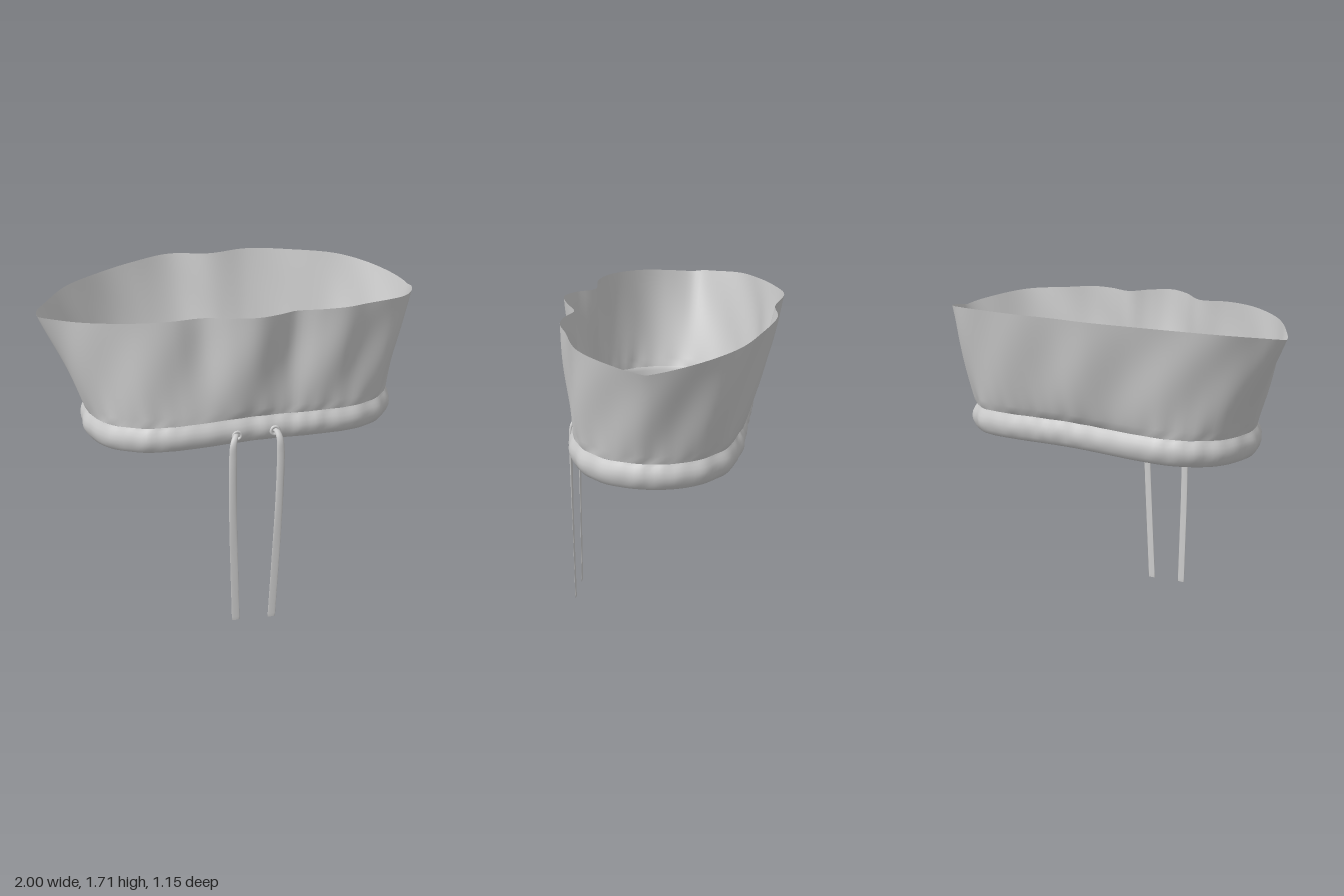
import * as THREE from 'three';

const material = new THREE.MeshStandardMaterial({ color: 0xcccccc, side: THREE.DoubleSide });
const SEGMENTS = 180;

// Closed horizontal outline from [x, z] pairs, sampled evenly: position and outward normal
function outline(pairs) {
  const curve = new THREE.CatmullRomCurve3(pairs.map(([x, z]) => new THREE.Vector3(x, 0, z)), true);
  return Array.from({ length: SEGMENTS }, (_, i) => {
    const p = curve.getPointAt(i / SEGMENTS);
    const t = curve.getTangentAt(i / SEGMENTS);
    return { x: p.x, z: p.z, nx: t.z, nz: -t.x };
  });
}

// Smooth surface through closed rings; point(row, column) gives [x, y, z]
function loft(name, rows, columns, point) {
  const positions = [];
  const index = [];
  for (let r = 0; r < rows; r++) {
    for (let c = 0; c < columns; c++) {
      positions.push(...point(r, c));
      if (r === rows - 1) continue;
      const a = r * columns + c;
      const b = r * columns + (c + 1) % columns;
      index.push(a, a + columns, b, b, a + columns, b + columns);
    }
  }
  const geometry = new THREE.BufferGeometry();
  geometry.setAttribute('position', new THREE.Float32BufferAttribute(positions, 3));
  geometry.setIndex(index);
  geometry.computeVertexNormals();
  const mesh = new THREE.Mesh(geometry, material);
  mesh.name = name;
  return mesh;
}

// Outlines run from the left side across the front, then back round behind
const hem = outline([
  [0.82, 0.03], [0.77, 0.24], [0.62, 0.38], [0.42, 0.43], [0.04, 0.43], [-0.36, 0.43], [-0.55, 0.38], [-0.7, 0.24],
  [-0.75, 0.03], [-0.7, -0.18], [-0.55, -0.32], [-0.36, -0.365], [0.04, -0.365], [0.42, -0.365], [0.62, -0.32], [0.77, -0.18],
]);
const rim = outline([
  [1, 0], [0.95, 0.18], [0.83, 0.35], [0.6, 0.45], [0.48, 0.5], [0.35, 0.5], [0.22, 0.475], [0.12, 0.53],
  [0, 0.57], [-0.12, 0.53], [-0.25, 0.445], [-0.4, 0.46], [-0.5, 0.45], [-0.62, 0.41], [-0.8, 0.29], [-0.92, 0.14],
  [-1, -0.03], [-0.92, -0.16], [-0.8, -0.3], [-0.6, -0.42], [-0.4, -0.51], [-0.18, -0.575], [0.04, -0.54], [0.26, -0.565],
  [0.5, -0.51], [0.75, -0.41], [0.92, -0.22],
]);

const BAND_HEIGHT = 0.14;
const SEAM_OFFSET = 0.022;
const hemHeight = ({ x }) => 0.965 + 0.012 * x + 0.033 * (1 - (x / 0.8) ** 2);
const rimHeight = ({ z }) => 1.613 + 0.165 * Math.abs(z);

// Irregular gathers around the ring
function gathers(c) {
  const a = (c / SEGMENTS) * Math.PI * 2;
  return 0.5 * Math.sin(23 * a + 2 * Math.sin(3 * a)) + 0.5 * Math.sin(37 * a + 1.5 * Math.sin(5 * a));
}

// Gathered drawstring band: inner facing, hem edge, puffed outside
function buildBand() {
  const profile = [ // outward offset, height, ripple strength
    [SEAM_OFFSET, BAND_HEIGHT, 0.3], [0.01, 0.12, 0], [0.003, 0.06, 0], [0, 0.01, 0], [0.004, 0, 0],
    [0.022, 0.008, 0.2], [0.036, 0.03, 0.6], [0.045, 0.055, 1], [0.047, 0.08, 1],
    [0.041, 0.105, 1], [0.03, 0.125, 0.8], [SEAM_OFFSET, BAND_HEIGHT, 0.3],
  ];
  return loft('drawstringBand', profile.length, SEGMENTS, (r, c) => {
    const p = hem[c];
    const [offset, height, ripple] = profile[r];
    const out = offset + 0.006 * ripple * gathers(c);
    return [p.x + p.nx * out, hemHeight(p) + height + 0.004 * ripple * gathers(c + 4), p.z + p.nz * out];
  });
}

// Flaring cloth wall with soft folds that fade in from the seam
function buildWall() {
  const rows = 25;
  return loft('clothWall', rows, SEGMENTS, (r, c) => {
    const t = r / (rows - 1);
    const low = hem[c];
    const high = rim[c];
    const a = (c / SEGMENTS) * Math.PI * 2;
    const y = THREE.MathUtils.lerp(hemHeight(low) + BAND_HEIGHT, rimHeight(high), t);
    // the front and back belly out, the sides run straight
    const flareX = t;
    const flareZ = Math.pow(t, 0.72);
    const pucker = t > 0 ? 0.008 * gathers(c) * Math.exp(-t * 7) : 0.0018 * gathers(c);
    const fold = 0.009 * Math.sin(Math.PI * t) * Math.sin(11 * a + 3 * t + Math.sin(2 * a));
    const out = SEAM_OFFSET * (1 - t) + pucker + fold;
    return [
      THREE.MathUtils.lerp(low.x, high.x, flareX) + low.nx * out,
      y,
      THREE.MathUtils.lerp(low.z, high.z, flareZ) + low.nz * out,
    ];
  });
}

// Hanging cord: round where it leaves the eyelet, flattening to a thin tape
function buildCord(name, points) {
  const curve = new THREE.CatmullRomCurve3(points.map((p) => new THREE.Vector3(...p)));
  const steps = 60;
  const sides = 12;
  const xAxis = new THREE.Vector3(1, 0, 0);
  return loft(name, steps + 3, sides, (r, c) => {
    const t = THREE.MathUtils.clamp((r - 1) / steps, 0, 1);
    const closed = r === 0 || r === steps + 2 ? 0 : 1; // collapsed rings cap the ends
    const p = curve.getPointAt(t);
    const depthAxis = xAxis.clone().cross(curve.getTangentAt(t)).normalize();
    const angle = (c / sides) * Math.PI * 2;
    const width = THREE.MathUtils.lerp(0.014, 0.021, Math.min(1, t * 8)) * closed;
    const depth = THREE.MathUtils.lerp(0.011, 0.002, Math.min(1, t * 1.6)) * closed;
    p.addScaledVector(xAxis, Math.cos(angle) * width).addScaledVector(depthAxis, Math.sin(angle) * depth);
    return [p.x, p.y, p.z];
  });
}

function buildEyelet(name, x, y) {
  const eyelet = new THREE.Mesh(new THREE.TorusGeometry(0.021, 0.008, 10, 24), material);
  eyelet.name = name;
  eyelet.position.set(x, y, 0.478);
  return eyelet;
}

export function createModel() {
  const model = new THREE.Group();
  model.name = 'drawstringClothTop';
  model.add(
    buildBand(),
    buildWall(),
    buildEyelet('rightEyelet', -0.085, 1.055),
    buildEyelet('leftEyelet', 0.115, 1.06),
    buildCord('rightCord', [
      [-0.085, 1.055, 0.465], [-0.1, 1.06, 0.5], [-0.115, 1.035, 0.522], [-0.12, 0.95, 0.528],
      [-0.12, 0.6, 0.53], [-0.113, 0.3, 0.53], [-0.105, 0.01, 0.53],
    ]),
    buildCord('leftCord', [
      [0.115, 1.06, 0.465], [0.12, 1.065, 0.5], [0.128, 1.035, 0.522], [0.132, 0.95, 0.528],
      [0.127, 0.7, 0.53], [0.113, 0.4, 0.53], [0.092, 0, 0.53],
    ]),
  );
  return model;
}
